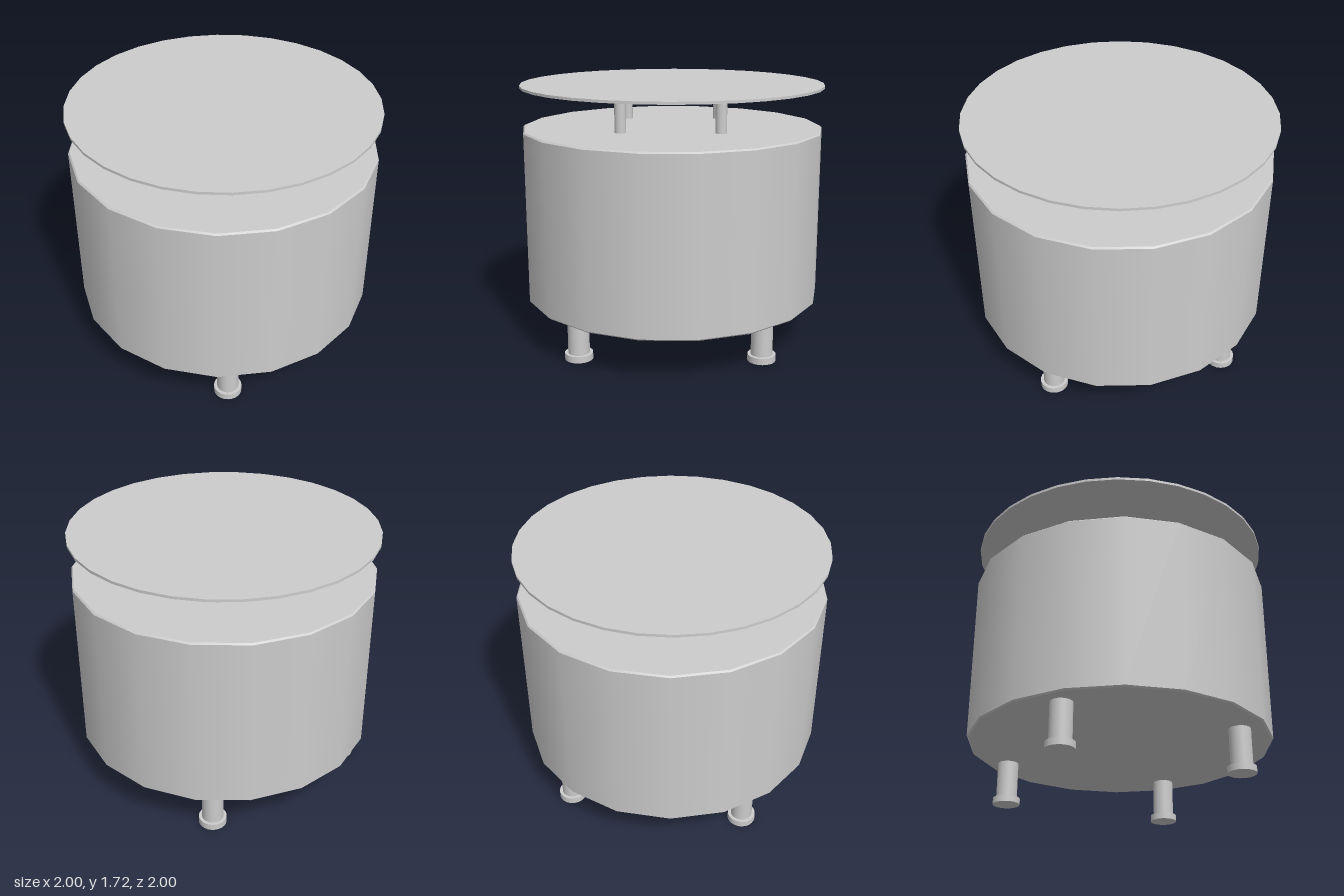
import * as THREE from 'three';

export function createModel() {
  const model = new THREE.Group();
  const grey = new THREE.MeshStandardMaterial({ color: 0xcccccc });
  grey.name = 'light grey';

  // Upright cylinder spanning y0..y1, with a corner of its polygon on the x axis
  function cylinder(name, rTop, rBottom, y0, y1, sides, x = 0, z = 0, open = false) {
    const geometry = new THREE.CylinderGeometry(rTop, rBottom, y1 - y0, sides, 1, open);
    geometry.rotateY(Math.PI / 2);
    const mesh = new THREE.Mesh(geometry, grey);
    mesh.name = name;
    mesh.position.set(x, (y0 + y1) / 2, z);
    return mesh;
  }

  // Drum body with a fine bevel on both rims
  const body = new THREE.Group();
  body.name = 'body';
  body.add(
    cylinder('bodyWall', 0.998, 0.998, 0.3, 1.42, 18, 0, 0, true),
    cylinder('bodyTop', 0.988, 0.998, 1.42, 1.43, 18),
    cylinder('bodyBottom', 0.998, 0.988, 0.29, 0.3, 18),
  );
  model.add(body);

  // Thin round lid floating above the body
  model.add(cylinder('lid', 1, 1, 1.698, 1.715, 32));

  // Four legs with flat feet below, four slim posts carrying the lid
  for (const sx of [-1, 1]) {
    for (const sz of [-1, 1]) {
      const x = sx * 0.588, z = sz * 0.584 - 0.013;
      const leg = new THREE.Group();
      leg.name = 'leg';
      leg.add(
        cylinder('legShaft', 0.07, 0.07, 0.04, 0.295, 24, x, z),
        cylinder('foot', 0.091, 0.091, 0, 0.043, 24, x, z),
      );
      model.add(leg);
      model.add(cylinder('lidPost', 0.037, 0.037, 1.425, 1.698, 20,
        sx * 0.32 - 0.002, sz * 0.325 - 0.011));
    }
  }
  return model;
}
